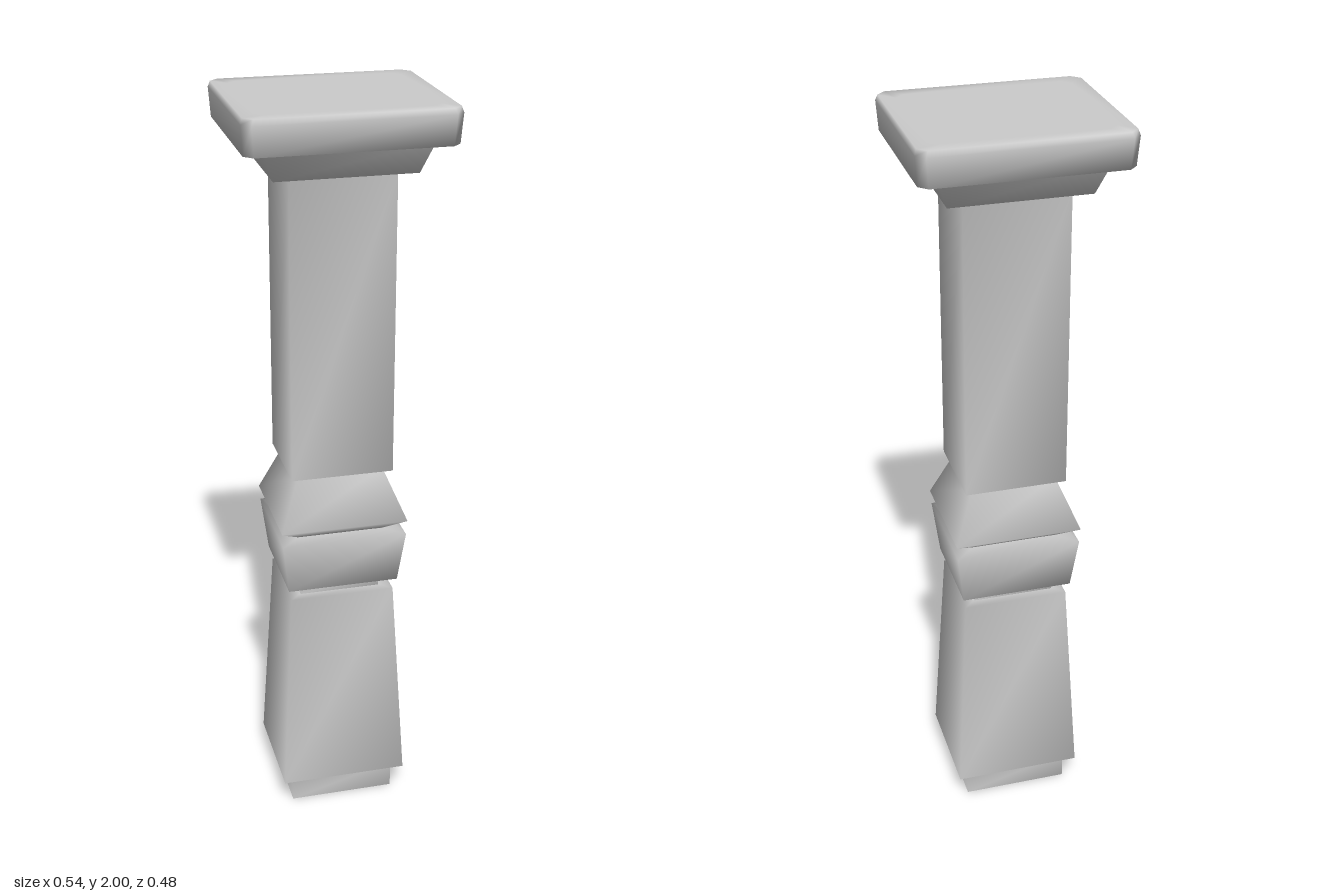
import * as THREE from 'three';

const material = new THREE.MeshStandardMaterial({ color: 0xcccccc, side: THREE.DoubleSide });

// Corners of a rectangle, counterclockwise from above; chamfer cuts each corner in two.
function ring(hx, hz, chamfer) {
  const pts = [];
  for (const [sx, sz] of [[1, 1], [1, -1], [-1, -1], [-1, 1]]) {
    if (!chamfer) { pts.push([sx * hx, sz * hz]); continue; }
    const pair = [[sx * (hx - chamfer), sz * hz], [sx * hx, sz * (hz - chamfer)]];
    pts.push(...(sx * sz > 0 ? pair : pair.reverse()));
  }
  return pts;
}

// Smooth shell through rectangular sections [halfWidth, y]; depth is narrower by `inset`.
function loft(name, sections, { inset = 0.021, chamfer = 0, cap = false } = {}) {
  const pos = [], index = [], n = chamfer ? 8 : 4;
  for (const [hx, y] of sections) {
    for (const [x, z] of ring(hx, hx - inset, chamfer)) pos.push(x, y, z);
  }
  for (let s = 0; s < sections.length - 1; s++) {
    for (let i = 0; i < n; i++) {
      const a = s * n + i, b = s * n + (i + 1) % n;
      index.push(a, b, b + n, a, b + n, a + n);
    }
  }
  if (cap) {
    const base = (sections.length - 1) * n;
    pos.push(0, sections[sections.length - 1][1], 0);
    for (let i = 0; i < n; i++) index.push(base + n, base + i, base + (i + 1) % n);
  }
  const geo = new THREE.BufferGeometry();
  geo.setAttribute('position', new THREE.Float32BufferAttribute(pos, 3));
  geo.setIndex(index);
  geo.computeVertexNormals();
  const mesh = new THREE.Mesh(geo, material);
  mesh.name = name;
  return mesh;
}

export function createModel() {
  const group = new THREE.Group();
  group.name = 'pillar';
  group.add(
    // Hollow foot, open underneath
    loft('plinth', [[0.145, 0], [0.145, 0.08]]),
    // Tapering lower block with its ledges
    loft('taperedBase', [[0.145, 0.08], [0.174, 0.08], [0.143, 0.66], [0.11, 0.66]]),
    loft('neck', [[0.11, 0.66], [0.11, 0.695]], { inset: 0.017 }),
    // Two flared mouldings
    loft('collar', [[0.11, 0.695], [0.151, 0.695], [0.169, 0.84], [0.118, 0.84]], { inset: 0.017 }),
    loft('bead', [[0.118, 0.84], [0.172, 0.88], [0.115, 1.02]], { inset: 0.018 }),
    // Long upper shaft
    loft('shaft', [[0.115, 1.02], [0.137, 1.02], [0.137, 1.83]], { inset: 0.014 }),
    loft('capital', [[0.137, 1.83], [0.182, 1.83], [0.212, 1.91]], { inset: 0.026 }),
    // Top slab with cut corners and a softened rim
    loft('topSlab', [[0.2, 1.91], [0.264, 1.91], [0.269, 1.985], [0.264, 2], [0.225, 2]],
      { inset: 0.03, chamfer: 0.022, cap: true }),
  );
  return group;
}
